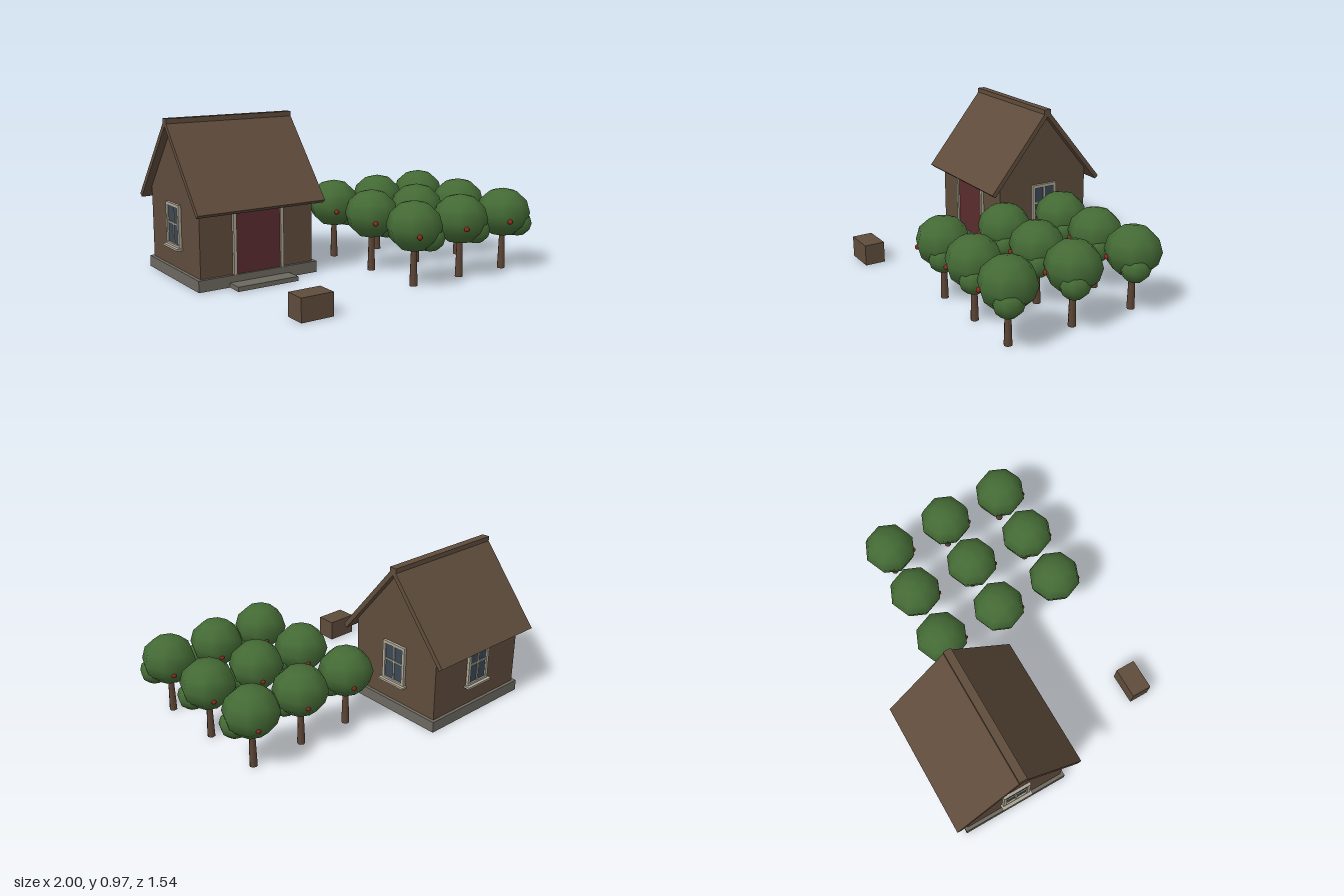
import * as THREE from 'three';

const mat = (name, color) => {
  const m = new THREE.MeshStandardMaterial({ color });
  m.name = name;
  return m;
};

export function createModel() {
  const wood = mat('brown wood', 0x5f4c3c);
  const bark = mat('bark', 0x5c4535);
  const stone = mat('grey stone', 0x6c6860);
  const trim = mat('pale trim', 0xaca594);
  const doorRed = mat('dark red', 0x5a2c2e);
  const glass = mat('window glass', 0x3a4856);
  const leaf = mat('leaf green', 0x446a35);
  const red = mat('apple red', 0x8c2a1e);

  const add = (parent, name, geo, material, x = 0, y = 0, z = 0) => {
    const m = new THREE.Mesh(geo, material);
    m.name = name;
    m.position.set(x, y, z);
    parent.add(m);
    return m;
  };
  const box = (parent, name, w, h, d, material, x, y, z) =>
    add(parent, name, new THREE.BoxGeometry(w, h, d), material, x, y, z);

  const model = new THREE.Group();
  model.name = 'cottageAndOrchard';

  // House, built around its own centre
  const house = new THREE.Group();
  house.name = 'house';
  house.position.set(-0.58, 0, -0.353);
  model.add(house);
  box(house, 'foundation', 0.794, 0.07, 0.708, stone, 0, 0.035, 0);
  box(house, 'frontStep', 0.4, 0.028, 0.11, stone, 0, 0.014, 0.405);

  // Walls: gable outline extruded along x
  const slope = 1.21, peak = 0.967, thick = 0.03;
  const under = peak - thick * Math.hypot(1, slope);
  const halfW = 0.375, halfD = 0.334;
  const gable = new THREE.Shape([
    [-halfD, 0.07], [halfD, 0.07], [halfD, under - slope * halfD],
    [0, under], [-halfD, under - slope * halfD],
  ].map(([a, b]) => new THREE.Vector2(a, b)));
  const wallGeo = new THREE.ExtrudeGeometry(gable, { depth: halfW * 2, bevelEnabled: false });
  wallGeo.translate(0, 0, -halfW).rotateY(Math.PI / 2);
  add(house, 'walls', wallGeo, wood);

  // Roof: two tilted slabs meeting under a ridge beam
  const reach = 0.418, eave = peak - slope * reach;
  const k = thick / Math.hypot(1, slope);
  for (const s of [-1, 1]) {
    const slab = new THREE.Shape([
      [0, peak], [0, under], [s * (reach - k * slope), eave - k], [s * reach, eave],
    ].map(([a, b]) => new THREE.Vector2(a, b)));
    const geo = new THREE.ExtrudeGeometry(slab, { depth: 0.84, bevelEnabled: false });
    geo.translate(0, 0, -0.42).rotateY(-Math.PI / 2);
    add(house, s > 0 ? 'frontRoof' : 'backRoof', geo, wood);
  }
  box(house, 'ridgeBeam', 0.84, 0.03, 0.05, wood, 0, 0.952, 0);

  // Door with its frame
  box(house, 'door', 0.3, 0.4, 0.008, doorRed, 0, 0.27, halfD + 0.004);
  for (const s of [-1, 1])
    box(house, 'doorPost', 0.02, 0.42, 0.018, trim, s * 0.157, 0.28, halfD + 0.009);
  box(house, 'doorLintel', 0.334, 0.02, 0.018, trim, 0, 0.48, halfD + 0.009);

  // Windows on the back and both sides, each facing local +z
  const addWindow = (name, x, z, turn) => {
    const w = new THREE.Group();
    w.name = name;
    w.position.set(x, 0.33, z);
    w.rotation.y = turn;
    house.add(w);
    box(w, 'pane', 0.146, 0.225, 0.008, glass, 0, 0, 0.004);
    for (const s of [-1, 1]) {
      box(w, 'frameSide', 0.02, 0.266, 0.018, trim, s * 0.081, 0, 0.009);
      box(w, 'frameRail', 0.142, 0.02, 0.018, trim, 0, s * 0.123, 0.009);
    }
    box(w, 'mullion', 0.012, 0.226, 0.014, trim, 0, 0, 0.007);
    box(w, 'crossBar', 0.142, 0.012, 0.014, trim, 0, 0.01, 0.007);
    box(w, 'sill', 0.208, 0.013, 0.038, trim, 0, -0.132, 0.019);
  };
  addWindow('leftWindow', halfW, 0, Math.PI / 2);
  addWindow('rightWindow', -halfW, 0, -Math.PI / 2);
  addWindow('backWindow', 0, -halfD, Math.PI);

  box(model, 'crate', 0.2, 0.135, 0.13, wood, -0.67, 0.0675, 0.706);

  // Orchard: three rows of three trees
  const trunkGeo = new THREE.CylinderGeometry(0.016, 0.024, 0.26, 8);
  const crownGeo = new THREE.SphereGeometry(0.167, 8, 6).scale(1, 0.91, 1);
  const blobGeo = new THREE.SphereGeometry(0.09, 8, 6).scale(1, 0.91, 1);
  const appleGeo = new THREE.SphereGeometry(0.016, 8, 6);
  for (const x of [0.125, 0.478, 0.83]) {
    for (const z of [-0.264, 0.153, 0.57]) {
      const tree = new THREE.Group();
      tree.name = 'tree';
      tree.position.set(x, 0, z);
      model.add(tree);
      add(tree, 'trunk', trunkGeo, bark, 0, 0.13, 0);
      add(tree, 'crown', crownGeo, leaf, 0, 0.358, 0);
      add(tree, 'lowerFoliage', blobGeo, leaf, 0.08, 0.287, 0.047);
      add(tree, 'frontApple', appleGeo, red, -0.068, 0.325, 0.135);
      add(tree, 'backApple', appleGeo, red, 0.05, 0.31, -0.128);
    }
  }
  return model;
}
